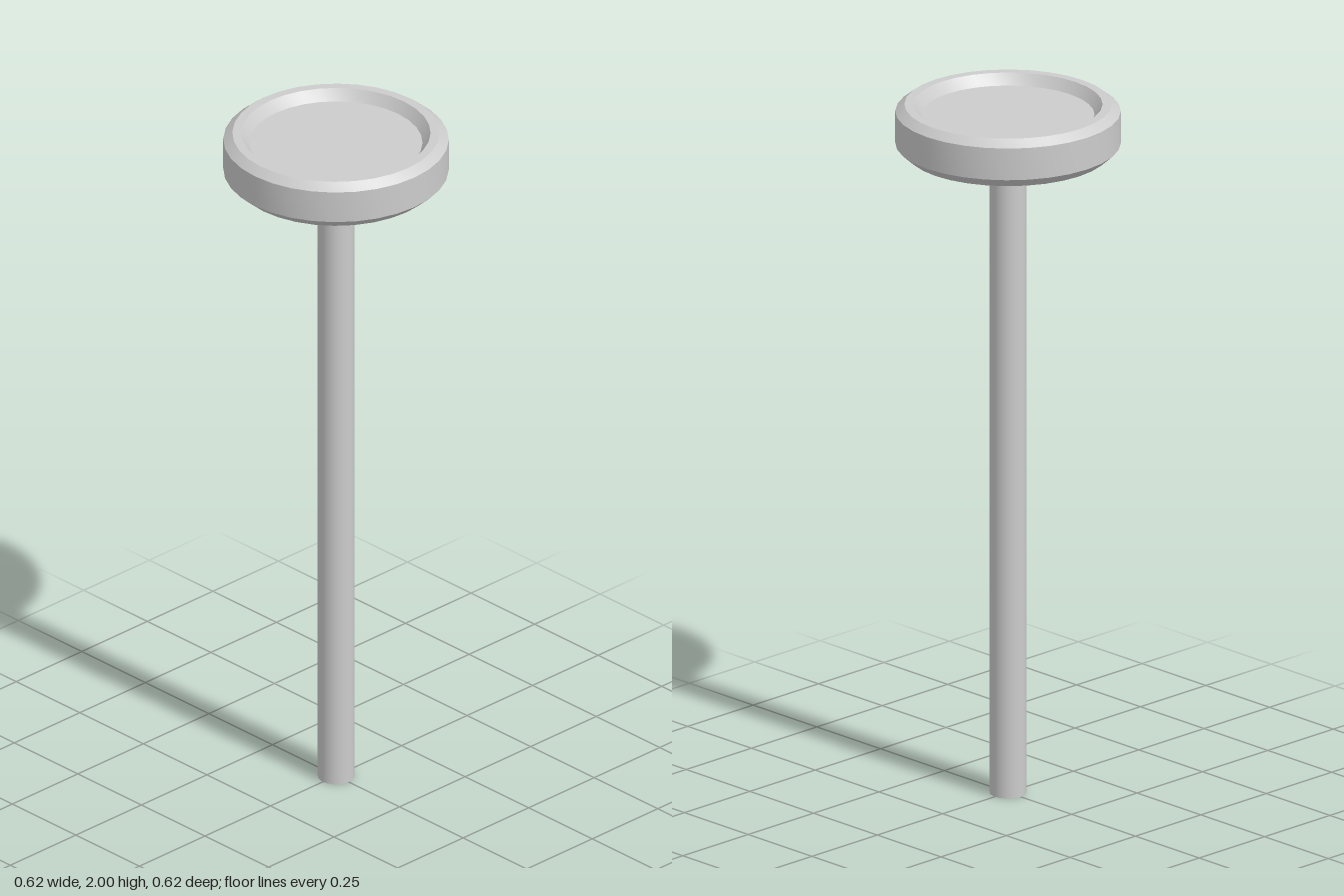
import * as THREE from 'three';
import { toCreasedNormals } from 'three/addons/utils/BufferGeometryUtils.js';

export function createModel() {
  const model = new THREE.Group();
  const lightGrey = new THREE.MeshStandardMaterial({ color: 0xcccccc });
  lightGrey.name = 'lightGrey';

  const add = (name, geometry) => {
    const mesh = new THREE.Mesh(geometry, lightGrey);
    mesh.name = name;
    model.add(mesh);
    return mesh;
  };

  // Round head: stepped underside, straight side, bevelled rim and shallow dish
  const profile = [
    [0, 1.843], [0.206, 1.843], [0.278, 1.86], [0.309, 1.888],
    [0.309, 1.98], [0.284, 2], [0.259, 2], [0.237, 1.97], [0, 1.97],
  ].map(([r, y]) => new THREE.Vector2(r, y));
  add('head', toCreasedNormals(new THREE.LatheGeometry(profile, 32), 0.205));

  // Slim post, reaching just into the head
  const postHeight = 1.86;
  add('post', new THREE.CylinderGeometry(0.05, 0.05, postHeight, 24)).position.y = postHeight / 2;

  return model;
}
